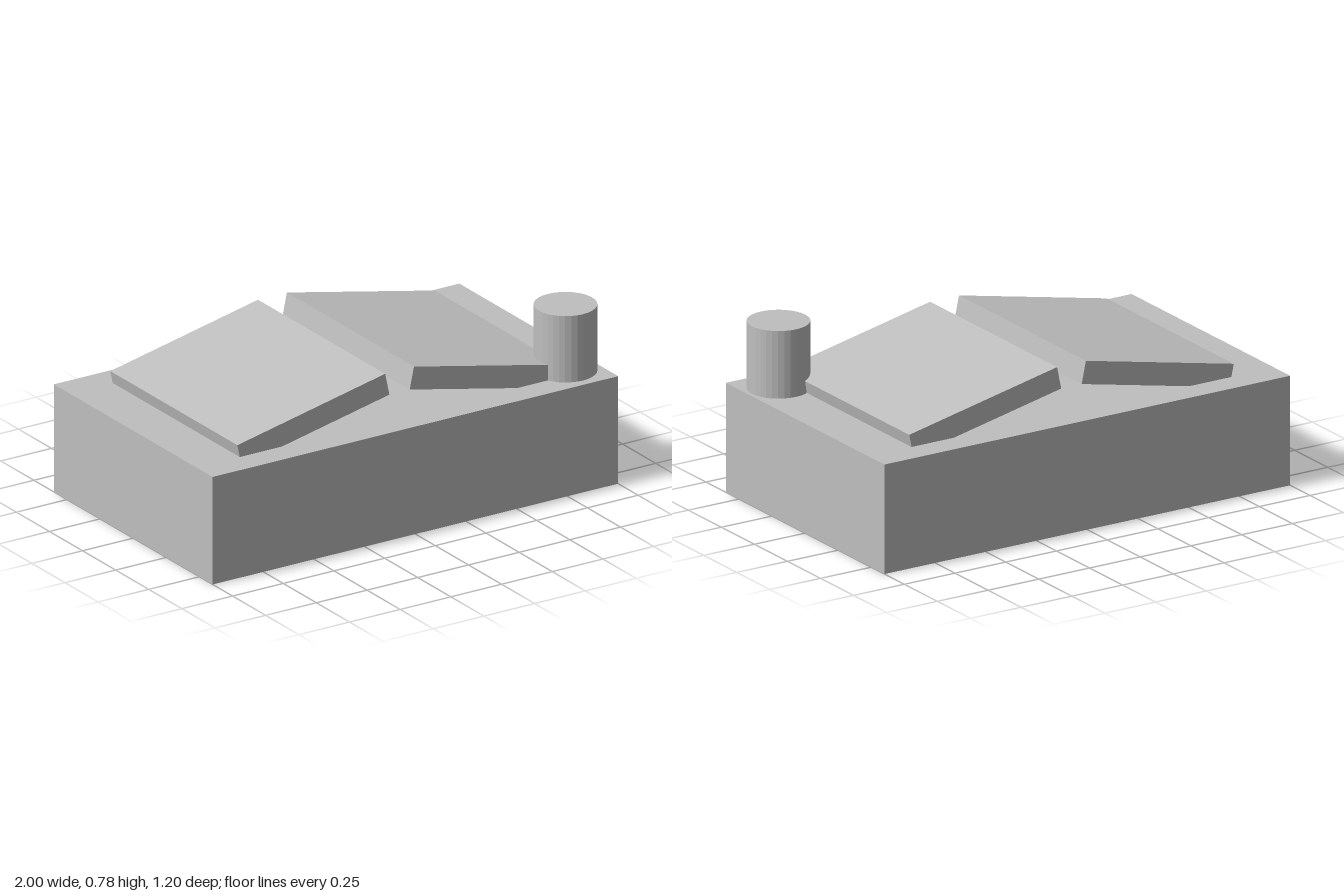
import * as THREE from 'three';

export function createModel() {
  const model = new THREE.Group();
  const grey = new THREE.MeshStandardMaterial({ color: 0xbfbfbf, flatShading: true });
  grey.name = 'grey';

  const add = (name, geometry, x, y, z) => {
    const mesh = new THREE.Mesh(geometry, grey);
    mesh.name = name;
    mesh.position.set(x, y, z);
    model.add(mesh);
    return mesh;
  };

  // Solid base block
  add('base', new THREE.BoxGeometry(2, 0.48, 1.2), 0, 0.24, 0);

  // Two mirrored panels rising towards the middle, outer edges sunk into the base
  const tilt = THREE.MathUtils.degToRad(12);
  for (const side of [1, -1]) {
    const panel = add(side > 0 ? 'leftPanel' : 'rightPanel',
      new THREE.BoxGeometry(0.745, 0.1, 0.96), side * 0.425, 0.564, 0);
    panel.rotation.z = -side * tilt;
  }

  // Upright post on the front corner
  add('post', new THREE.CylinderGeometry(0.132, 0.132, 0.296, 32), 0.852, 0.628, 0.428);

  return model;
}
